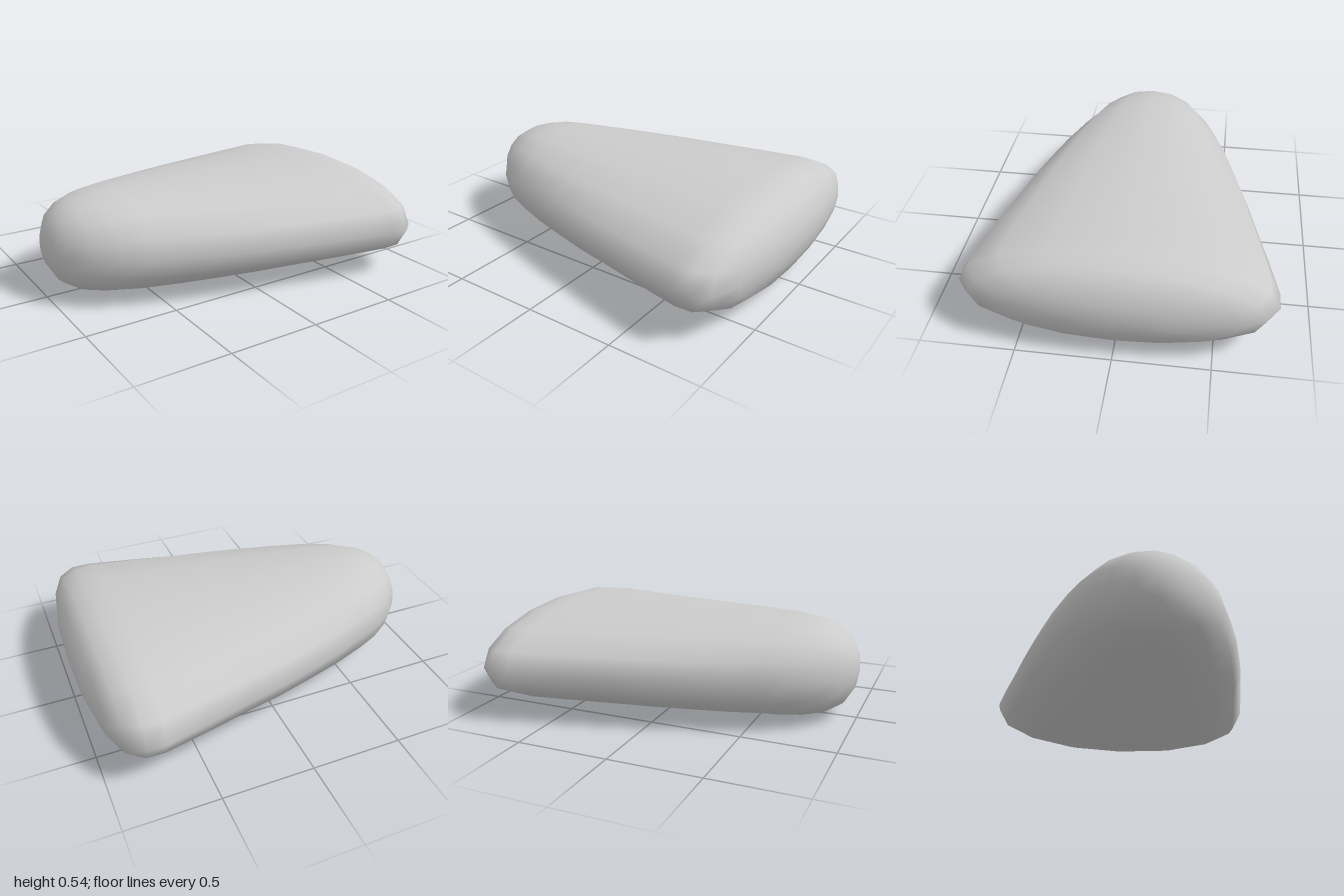
import * as THREE from 'three';

// Stations along x: [x, half height, half width]
const STATIONS = [
  [-0.98, 0.1, 0.11], [-0.93, 0.185, 0.21], [-0.845, 0.235, 0.3], [-0.73, 0.26, 0.38],
  [-0.6, 0.27, 0.44], [-0.4, 0.27, 0.52], [-0.2, 0.27, 0.585], [0, 0.27, 0.645],
  [0.2, 0.27, 0.693], [0.45, 0.27, 0.757], [0.7, 0.27, 0.815], [0.8, 0.262, 0.815],
  [0.885, 0.235, 0.75], [0.945, 0.185, 0.6], [0.985, 0.1, 0.33],
];
const SIDES = 16;
const MID_Y = 0.27;

// Slightly squared ellipse, used for every cross-section
const full = (v) => Math.sign(v) * Math.pow(Math.abs(v), 0.95);

// Loft rings along x and close both ends with a single pole
function loft(stations, poleStart, poleEnd) {
  const pos = [];
  const index = [];
  for (const [x, h, w] of stations) {
    for (let j = 0; j < SIDES; j++) {
      const a = (j / SIDES) * Math.PI * 2;
      pos.push(x, MID_Y + h * full(Math.cos(a)), w * full(Math.sin(a)));
    }
  }
  const last = (stations.length - 1) * SIDES;
  const start = pos.length / 3;
  const end = start + 1;
  pos.push(poleStart, MID_Y, 0, poleEnd, MID_Y, 0);

  for (let j = 0; j < SIDES; j++) {
    const k = (j + 1) % SIDES;
    for (let r = 0; r < last; r += SIDES) {
      index.push(r + j, r + k, r + SIDES + j, r + k, r + SIDES + k, r + SIDES + j);
    }
    index.push(start, k, j, end, last + j, last + k);
  }
  const geometry = new THREE.BufferGeometry();
  geometry.setAttribute('position', new THREE.Float32BufferAttribute(pos, 3));
  geometry.setIndex(index);
  geometry.computeVertexNormals();
  return geometry;
}

export function createModel() {
  const group = new THREE.Group();
  group.name = 'roundedWedge';
  const body = new THREE.Mesh(
    loft(STATIONS, -1, 1),
    new THREE.MeshStandardMaterial({ color: 0xcccccc }),
  );
  body.name = 'body';
  group.add(body);
  return group;
}
